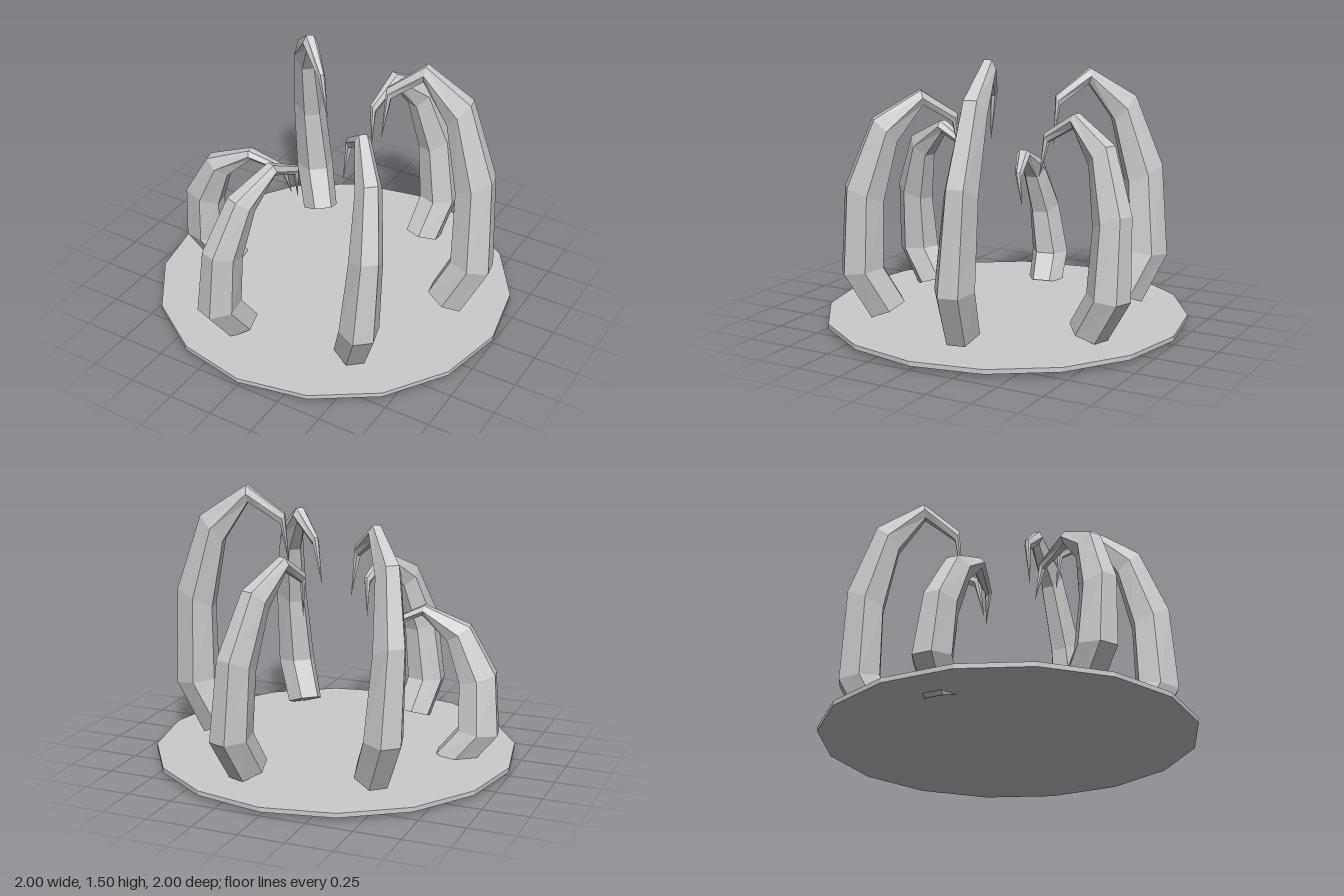
import * as THREE from 'three';

const SIDES = 6;

// Claw cross-sections from base to tip: inner x, y; outer x, y; centre z; half width
const SECTIONS = [
  [0.57, 0.16, 0.75, 0.07, -0.10, 0.10],
  [0.68, 0.39, 0.89, 0.36, -0.135, 0.108],
  [0.67, 0.81, 0.86, 0.91, -0.165, 0.09],
  [0.59, 1.19, 0.71, 1.33, -0.175, 0.07],
  [0.45, 1.41, 0.46, 1.50, -0.145, 0.042],
  [0.292, 1.29, 0.268, 1.345, -0.078, 0.02],
  [0.255, 1.04, 0.255, 1.04, -0.045, 0],
];
const BASE_Y = 0.07;
const HEIGHT = 1.43;

// Tapering hexagonal horn swept through the cross-sections, closed at the base
function clawGeometry() {
  const lean = -0.2; // the claw's plane turns slightly towards -z
  const lateral = new THREE.Vector3(-lean, 0, 1).normalize();
  const rings = SECTIONS.map(([ix, iy, ox, oy, z, w]) => {
    const centre = new THREE.Vector3((ix + ox) / 2, (iy + oy) / 2, z);
    const out = new THREE.Vector3((ox - ix) / 2, (oy - iy) / 2, lean * (ox - ix) / 2);
    return Array.from({ length: SIDES }, (_, k) => {
      const a = Math.PI / 6 + (k / SIDES) * Math.PI * 2;
      return centre.clone()
        .addScaledVector(out, Math.cos(a) / Math.cos(Math.PI / 6))
        .addScaledVector(lateral, w * Math.sin(a));
    });
  });

  const points = [];
  for (let i = 0; i < rings.length - 1; i++) {
    for (let k = 0; k < SIDES; k++) {
      const n = (k + 1) % SIDES;
      const a = rings[i][k], b = rings[i][n];
      const d = rings[i + 1][k], e = rings[i + 1][n];
      points.push(a, d, b);
      if (i < rings.length - 2) points.push(b, d, e);
    }
  }
  for (let k = 1; k < SIDES - 1; k++) points.push(rings[0][0], rings[0][k], rings[0][k + 1]);

  const geometry = new THREE.BufferGeometry().setFromPoints(points);
  geometry.computeVertexNormals();
  return geometry;
}

export function createModel() {
  const group = new THREE.Group();
  group.name = 'clawRing';
  const material = new THREE.MeshStandardMaterial({ color: 0xcccccc, flatShading: true });

  // Thin sixteen-sided floor disc
  const disc = new THREE.Mesh(new THREE.CylinderGeometry(1, 1, 0.025, 16), material);
  disc.name = 'baseDisc';
  disc.position.y = 0.0325;
  group.add(disc);

  // Six claws curling inwards, each stretched to its own [bottom, top]
  const spans = [[0.07, 1.5], [0.045, 1.2], [0.06, 1.375], [0, 0.855], [0.035, 1.055], [0.052, 1.3]];
  const geometry = clawGeometry();
  spans.forEach(([bottom, top], i) => {
    const claw = new THREE.Mesh(geometry, material);
    claw.name = `claw${i + 1}`;
    claw.rotation.y = (i * Math.PI) / 3;
    claw.scale.y = (top - bottom) / HEIGHT;
    claw.position.y = bottom - BASE_Y * claw.scale.y;
    group.add(claw);
  });

  return group;
}
